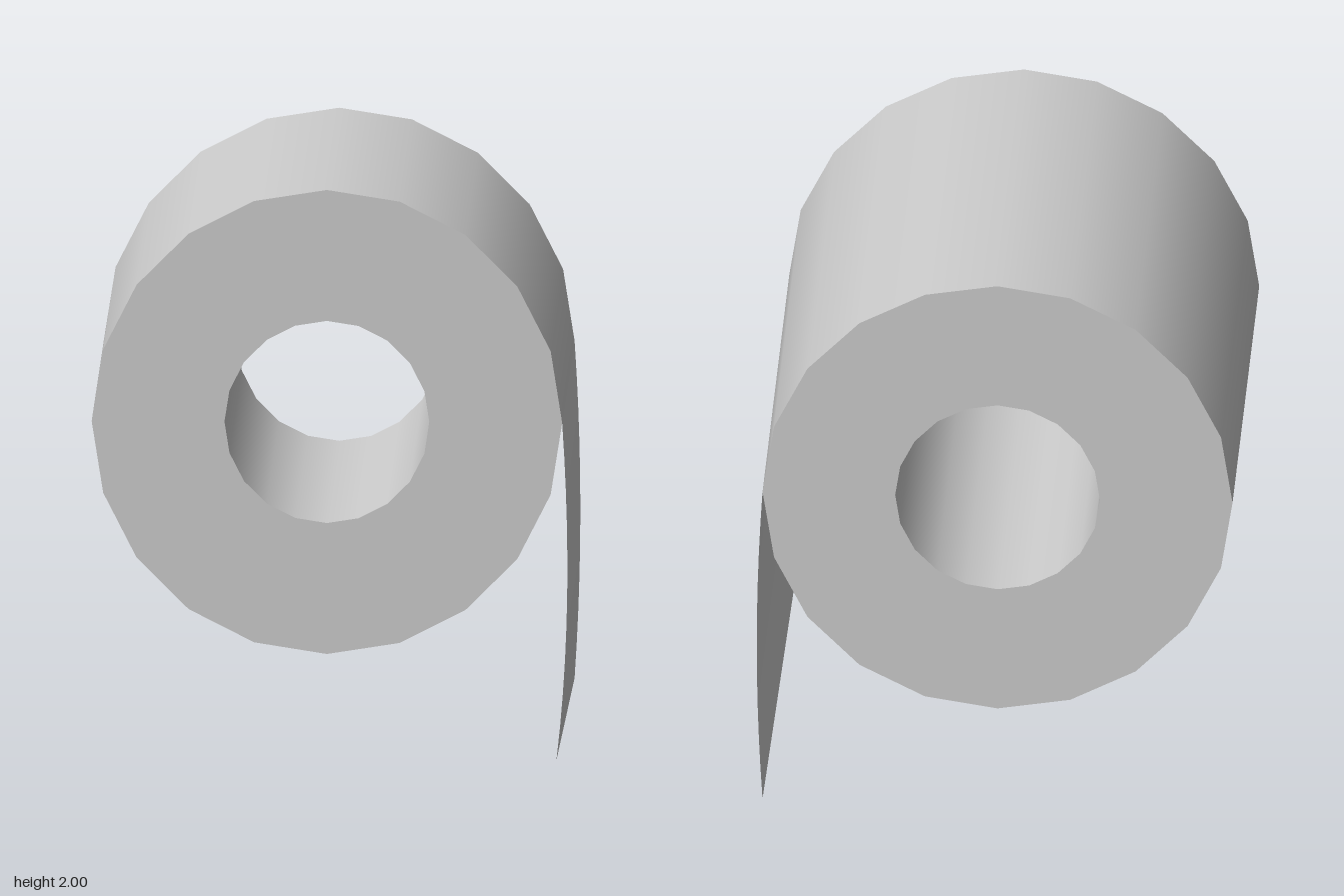
import * as THREE from 'three';

const SIDES = 20, OUTER = 0.815, INNER = 0.355, HALF = 0.85;
const CENTRE_X = -0.01, CENTRE_Y = 1.185;

export function createModel() {
  const model = new THREE.Group();
  const grey = new THREE.MeshStandardMaterial({ color: 0xcccccc });
  const paper = new THREE.MeshStandardMaterial({ color: 0xcccccc, side: THREE.DoubleSide });

  const add = (name, geometry, parent, material = grey) => {
    const mesh = new THREE.Mesh(geometry, material);
    mesh.name = name;
    parent.add(mesh);
    return mesh;
  };

  // Roll: smooth walls with crisp flat ends, axis along z
  const roll = new THREE.Group();
  roll.name = 'roll';
  roll.position.set(CENTRE_X, CENTRE_Y, 0);
  model.add(roll);

  // Profile direction decides whether a wall faces outward or inward
  const wall = (radius, from, to) => new THREE.LatheGeometry(
    [new THREE.Vector2(radius, from), new THREE.Vector2(radius, to)], SIDES).rotateX(Math.PI / 2);
  add('outerWall', wall(OUTER, -HALF, HALF), roll);
  add('coreHole', wall(INNER, HALF, -HALF), roll);

  const end = new THREE.RingGeometry(INNER, OUTER, SIDES);
  add('frontEnd', end, roll).position.z = HALF;
  const back = add('backEnd', end, roll);
  back.position.z = -HALF;
  back.rotation.y = Math.PI;

  // Loose sheet: hangs from the side, bows outward, front corner curls in
  const sheet = new THREE.PlaneGeometry(2 * HALF, CENTRE_Y, 1, 10)
    .rotateY(Math.PI / 2).translate(0, CENTRE_Y / 2, 0);
  const p = sheet.attributes.position;
  for (let i = 0; i < p.count; i++) {
    const t = 1 - p.getY(i) / CENTRE_Y;
    const curl = p.getZ(i) > 0 ? 0.02 * t ** 3 : 0;
    p.setX(i, CENTRE_X + OUTER + 0.08 * t * (1 - t) - curl);
  }
  sheet.computeVertexNormals();
  add('looseSheet', sheet, model, paper);

  return model;
}
